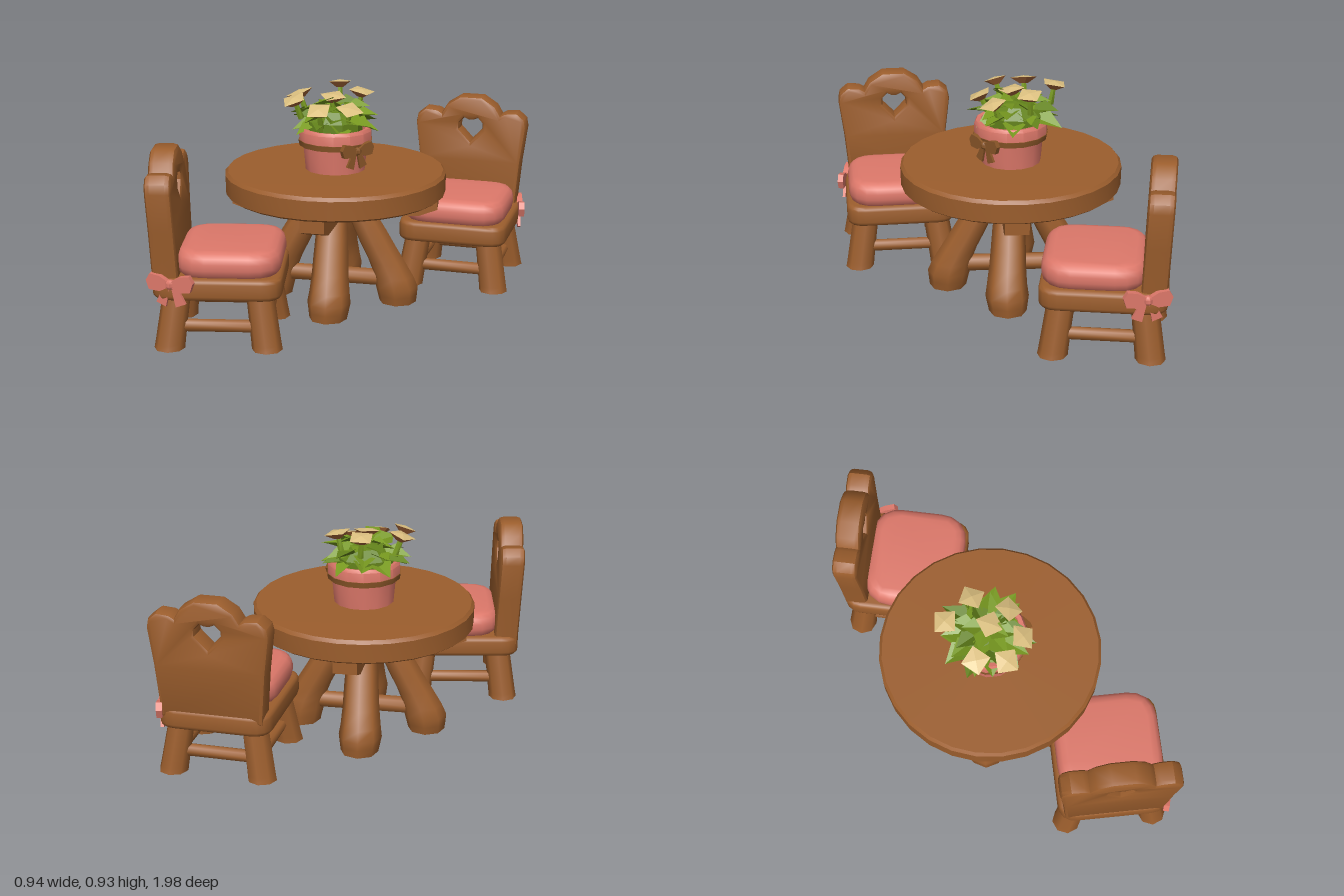
import * as THREE from 'three';
import { toCreasedNormals } from 'three/addons/utils/BufferGeometryUtils.js';

const V = (x, y, z) => new THREE.Vector3(x, y, z);
const paint = (name, hex, side = THREE.FrontSide) => {
  const m = new THREE.MeshStandardMaterial({ color: hex, side });
  m.name = name;
  return m;
};

export function createModel() {
  const wood = paint('wood', 0x9c5e2d);
  const pink = paint('pink cloth', 0xdd786a);
  const twine = paint('brown ribbon', 0x8a5628);
  const green = paint('leaf green', 0x789a20, THREE.DoubleSide);
  const darkGreen = paint('dark leaf green', 0x64841b, THREE.DoubleSide);
  const cream = paint('cream petal', 0xdcc080);
  const rust = paint('rust petal', 0xa9683a);

  const model = new THREE.Group();
  model.name = 'tableAndChairs';

  const add = (parent, name, geo, mat, crease = 0.7) => {
    const mesh = new THREE.Mesh(crease ? toCreasedNormals(geo, crease) : geo, mat);
    mesh.name = name;
    parent.add(mesh);
    return mesh;
  };
  const group = (parent, name) => {
    const g = new THREE.Group();
    g.name = name;
    parent.add(g);
    return g;
  };

  // Upright log: level rings of changing radius follow a curve, so feet stay flat
  function uprightLog(points, radii) {
    const curve = new THREE.CatmullRomCurve3(points);
    const geo = new THREE.CylinderGeometry(1, 1, 1, 8, 8);
    const p = geo.attributes.position;
    for (let i = 0; i < p.count; i++) {
      const t = p.getY(i) + 0.5, f = t * (radii.length - 1);
      const k = Math.min(Math.floor(f), radii.length - 2);
      const r = THREE.MathUtils.lerp(radii[k], radii[k + 1], f - k);
      const c = curve.getPoint(t);
      p.setXYZ(i, c.x + p.getX(i) * r, c.y, c.z + p.getZ(i) * r);
    }
    return geo;
  }

  // Straight round bar between two points
  function bar(a, b, r) {
    const d = b.clone().sub(a), mid = a.clone().add(b).multiplyScalar(0.5);
    const q = new THREE.Quaternion().setFromUnitVectors(V(0, 1, 0), d.clone().normalize());
    return new THREE.CylinderGeometry(r, r, d.length(), 8).applyQuaternion(q).translate(mid.x, mid.y, mid.z);
  }

  const polygon = pts => new THREE.Shape(pts.map(p => new THREE.Vector2(p[0], p[1])));
  const mirrored = half => [...half, ...half.map(p => [-p[0], p[1]]).reverse()];

  // Soft slab with rounded corners, lying flat from y0 to y1
  function slab(w, d, y0, y1, radius, bevel) {
    const x = w / 2 - bevel, y = d / 2 - bevel, r = radius;
    const s = new THREE.Shape();
    s.moveTo(-x + r, -y).lineTo(x - r, -y).quadraticCurveTo(x, -y, x, -y + r);
    s.lineTo(x, y - r).quadraticCurveTo(x, y, x - r, y);
    s.lineTo(-x + r, y).quadraticCurveTo(-x, y, -x, y - r);
    s.lineTo(-x, -y + r).quadraticCurveTo(-x, -y, -x + r, -y);
    return new THREE.ExtrudeGeometry(s, {
      depth: y1 - y0 - 2 * bevel, bevelSize: bevel, bevelThickness: bevel, bevelSegments: 3, curveSegments: 4,
    }).rotateX(-Math.PI / 2).translate(0, y0 + bevel, 0);
  }

  // Ribbon bow facing +z
  function bow(parent, name, mat) {
    const g = group(parent, name);
    const flat = (pts, depth) => new THREE.ExtrudeGeometry(polygon(pts), { depth, bevelEnabled: false });
    for (const s of [1, -1]) {
      const loop = flat([[0.005, -0.012], [0.05, -0.035], [0.105, -0.03], [0.12, 0.015], [0.1, 0.05], [0.05, 0.042], [0.005, 0.014]], 0.03);
      const tail = flat([[0, 0], [0.025, -0.115], [0.075, -0.095], [0.025, 0]], 0.016);
      if (s < 0) {
        loop.rotateY(Math.PI).translate(0, 0, 0.03);
        tail.rotateY(Math.PI).translate(0, 0, 0.016);
      }
      add(g, 'bowLoop', loop, mat);
      add(g, 'bowTail', tail, mat);
    }
    add(g, 'bowKnot', new THREE.SphereGeometry(0.026, 7, 5).translate(0, 0, 0.018), mat);
    return g;
  }

  // Table
  const table = group(model, 'table');
  const rim = [[0, 0.48], [0.455, 0.48], [0.47, 0.49], [0.472, 0.57], [0.46, 0.584], [0, 0.585]];
  add(table, 'tableTop', new THREE.LatheGeometry(rim.map(p => new THREE.Vector2(...p)), 28), wood, 0.5);
  for (const s of [1, -1]) {
    const beam = new THREE.ExtrudeGeometry(
      polygon([[-0.36, 0.395], [0.36, 0.395], [0.44, 0.425], [0.44, 0.485], [-0.44, 0.485], [-0.44, 0.425]]),
      { depth: 0.1, bevelEnabled: false });
    add(table, 'topBeam', beam.translate(0, 0, -0.05).rotateY(s * 0.84), wood);
    add(table, 'tableStretcher', bar(V(-0.2, 0.105, -0.18 * s), V(0.2, 0.105, 0.18 * s), 0.038), wood, 1);
    for (const x of [1, -1]) {
      const leg = uprightLog(
        [V(0.205 * x, 0.004, 0.185 * s), V(0.2 * x, 0.1, 0.175 * s), V(0.13 * x, 0.28, 0.115 * s), V(0.065 * x, 0.45, 0.055 * s)],
        [0.08, 0.092, 0.078, 0.07, 0.056]);
      add(table, 'tableLeg', leg, wood, 1);
    }
  }

  // Chair facing local +z, with its bow on one side
  function chair(name, z, turn, bowSide) {
    const g = group(model, name);
    g.position.set(0.1, 0, z);
    g.rotation.y = turn;
    add(g, 'seat', slab(0.475, 0.515, 0.222, 0.312, 0.06, 0.02).translate(0, 0, -0.012), wood);
    add(g, 'cushion', slab(0.45, 0.42, 0.3, 0.415, 0.08, 0.045).translate(0, 0, 0.03), pink);

    // Scalloped backrest with a heart-like opening, leaning slightly backwards
    const back = polygon(mirrored([[0.2, 0.285], [0.218, 0.5], [0.238, 0.66], [0.232, 0.69], [0.205, 0.712],
      [0.16, 0.708], [0.13, 0.69], [0.1, 0.74], [0.045, 0.775]]));
    back.holes.push(new THREE.Path(mirrored([[0, 0.565], [0.068, 0.635], [0.068, 0.675], [0.035, 0.71], [0.008, 0.698]])
      .map(p => new THREE.Vector2(...p))));
    const backGeo = new THREE.ExtrudeGeometry(back, { depth: 0.06, bevelSize: 0.015, bevelThickness: 0.022, bevelSegments: 2 });
    const p = backGeo.attributes.position;
    for (let i = 0; i < p.count; i++) p.setZ(i, p.getZ(i) - 0.242 - 0.04 * (p.getY(i) - 0.285));
    add(g, 'backrest', backGeo, wood);

    // Splayed legs and the bars joining them
    const feet = [[1, 1], [-1, 1], [-1, -1], [1, -1]];
    feet.forEach(([x, s], i) => {
      add(g, 'chairLeg', uprightLog([V(0.19 * x, 0.012, 0.195 * s - 0.01), V(0.155 * x, 0.24, 0.165 * s - 0.01)], [0.062, 0.056]), wood, 1);
      const [nx, ns] = feet[(i + 1) % 4];
      add(g, 'chairStretcher', bar(V(0.17 * x, 0.1, 0.18 * s - 0.01), V(0.17 * nx, 0.1, 0.18 * ns - 0.01), 0.027), wood, 1);
    });

    const b = bow(g, 'chairBow', pink);
    b.position.set(0.226 * bowSide, 0.295, -0.185);
    b.rotation.y = bowSide * (Math.PI / 2 + 0.25);
    b.scale.setScalar(0.82);
  }
  chair('frontChair', 0.62, Math.PI - 0.67, -1);
  chair('backChair', -0.62, 0.67, 1);

  // Flower pot with ribbon
  const pot = group(model, 'flowerPot');
  const wall = [[0, 0.58], [0.128, 0.58], [0.138, 0.69], [0.155, 0.695], [0.156, 0.755], [0.148, 0.768], [0.13, 0.765], [0.125, 0.74], [0, 0.74]];
  add(pot, 'pot', new THREE.LatheGeometry(wall.map(q => new THREE.Vector2(...q)), 14), pink);
  add(pot, 'potRibbon', new THREE.CylinderGeometry(0.159, 0.155, 0.024, 14).translate(0, 0.703, 0), twine);
  const potBow = bow(pot, 'potBow', twine);
  potBow.position.set(0.145, 0.69, 0);
  potBow.rotation.y = Math.PI / 2;
  potBow.scale.setScalar(0.68);

  // Folded pointed leaf growing along +z
  function leafGeometry(len, w) {
    const a = [0, 0, 0], l = [-w, 0.012, len * 0.5], r = [w, 0.012, len * 0.5], m = [0, -0.01, len * 0.5], t = [0, -0.02, len];
    const geo = new THREE.BufferGeometry();
    geo.setAttribute('position', new THREE.Float32BufferAttribute([a, l, m, a, m, r, l, t, m, m, t, r].flat(), 3));
    geo.computeVertexNormals();
    return geo;
  }

  // Foliage: rings of broad leaves over a dome
  const plant = group(model, 'plant');
  plant.position.set(-0.02, 0, -0.01);
  add(plant, 'foliageCore', new THREE.SphereGeometry(0.125, 9, 5).scale(1, 0.7, 1).translate(0, 0.765, 0), darkGreen, 0.2);
  const rings = [
    // count, start radius, height, length, width, upward tilt
    [11, 0.06, 0.785, 0.14, 0.048, 0.02],
    [10, 0.05, 0.81, 0.135, 0.046, 0.15],
    [8, 0.03, 0.835, 0.11, 0.042, 0.25],
    [5, 0.01, 0.855, 0.09, 0.038, 0.3],
  ];
  rings.forEach(([n, r, y, len, w, tilt], k) => {
    for (let i = 0; i < n; i++) {
      const wob = Math.sin(i * 2.4 + k * 1.7);
      const geo = leafGeometry(len * (1 + 0.14 * wob), w).rotateZ(0.3 * wob).rotateX(-tilt + 0.12 * Math.cos(i * 3.1 + k))
        .translate(0, y + 0.008 * wob, r).rotateY((i + k * 0.4) / n * Math.PI * 2);
      add(plant, 'leaf', geo, i % 4 === 1 ? darkGreen : green, 0);
    }
  });

  // Open four-sided blossoms nested in the leaves, leaning outward
  const blossoms = [[-0.115, 0.91, -0.11], [0.035, 0.895, -0.115], [-0.135, 0.885, 0.085], [0.12, 0.845, 0.01],
    [0.01, 0.885, 0.015], [-0.05, 0.88, 0.17], [0.075, 0.85, 0.135]];
  blossoms.forEach(([x, y, z], i) => {
    const f = group(plant, 'blossom');
    f.position.set(x, y, z);
    f.rotation.set(z * 1.8 + 0.1, 0, -x * 2.2 - 0.1);
    const cup = add(f, 'petals', new THREE.CylinderGeometry(0.058, 0.018, 0.026, 4), rust, 0.2);
    const face = add(f, 'petalFace', new THREE.ConeGeometry(0.06, 0.008, 4).translate(0, 0.017, 0), cream, 0.05);
    cup.rotation.y = face.rotation.y = i * 1.3;
    add(f, 'stem', new THREE.CylinderGeometry(0.01, 0.014, 0.07, 5).translate(0, -0.045, 0), green, 1.3);
  });

  return model;
}
